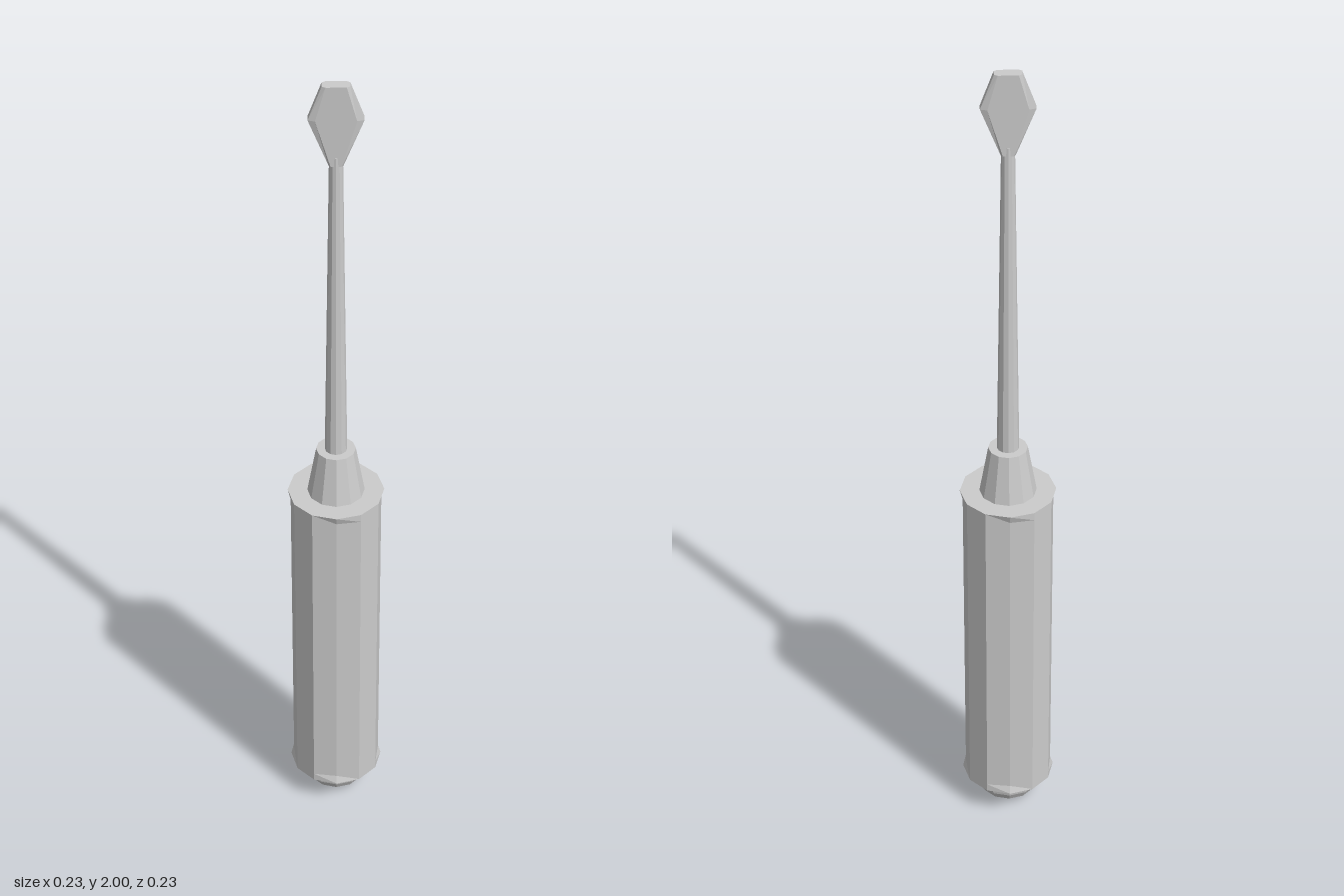
import * as THREE from 'three';

const material = new THREE.MeshStandardMaterial({ color: 0xcccccc, flatShading: true });

// Faceted part turned around the y axis; profile runs from bottom to top
function turned(name, profile, sides = 12) {
  const points = profile.map(([r, y]) => new THREE.Vector2(r, y));
  const mesh = new THREE.Mesh(new THREE.LatheGeometry(points, sides), material);
  mesh.name = name;
  return mesh;
}

// Twelve-sided grip with shallow recesses along the four axis-facing corners
function makeHandle() {
  const r = 0.113;
  const mesh = turned('handle', [[0, 0.08], [r, 0.08], [r, 0.1], [r, 0.91], [r, 0.93], [0, 0.93]]);
  const pos = mesh.geometry.attributes.position;
  for (let i = 0; i < pos.count; i++) {
    const x = pos.getX(i), y = pos.getY(i), z = pos.getZ(i);
    const onAxis = Math.min(Math.abs(x), Math.abs(z)) < 0.001;
    if (onAxis && y > 0.09 && y < 0.92) pos.setXYZ(i, x * 0.94, y, z * 0.94);
  }
  return mesh;
}

// Flat tip lofted through eight-cornered sections with narrowed edges
function makeBlade() {
  const sections = [[1.81, 0.016], [1.92, 0.06], [2, 0.03]]; // height, half width
  const thick = 0.014, edge = 0.009;
  const verts = [], index = [];
  for (const [y, w] of sections) {
    const c = w * 0.74;
    const ring = [[w, edge], [c, thick], [-c, thick], [-w, edge],
      [-w, -edge], [-c, -thick], [c, -thick], [w, -edge]];
    for (const [x, z] of ring) verts.push(x, y, z);
  }
  for (let s = 0; s < 2; s++) {
    for (let i = 0; i < 8; i++) {
      const a = s * 8 + i, b = s * 8 + (i + 1) % 8;
      index.push(a, a + 8, b, b, a + 8, b + 8);
    }
  }
  for (let i = 1; i < 7; i++) {
    index.push(0, i, i + 1);
    index.push(16, 16 + i + 1, 16 + i);
  }
  const geometry = new THREE.BufferGeometry();
  geometry.setAttribute('position', new THREE.Float32BufferAttribute(verts, 3));
  geometry.setIndex(index);
  geometry.computeVertexNormals();
  const mesh = new THREE.Mesh(geometry, material);
  mesh.name = 'blade';
  return mesh;
}

export function createModel() {
  const model = new THREE.Group();
  model.name = 'screwdriver';
  model.add(
    // Rounded butt below the grip
    turned('pommel', [[0, 0], [0.025, 0.002], [0.05, 0.01], [0.069, 0.024], [0.08, 0.044], [0.083, 0.062], [0.083, 0.085]]),
    makeHandle(),
    // Tapered collar above the grip
    turned('collar', [[0.067, 0.93], [0.046, 1.05], [0, 1.05]]),
    // Slim tapering shaft
    turned('shaft', [[0.026, 1.04], [0.015, 1.83], [0, 1.83]]),
    makeBlade(),
  );
  return model;
}
